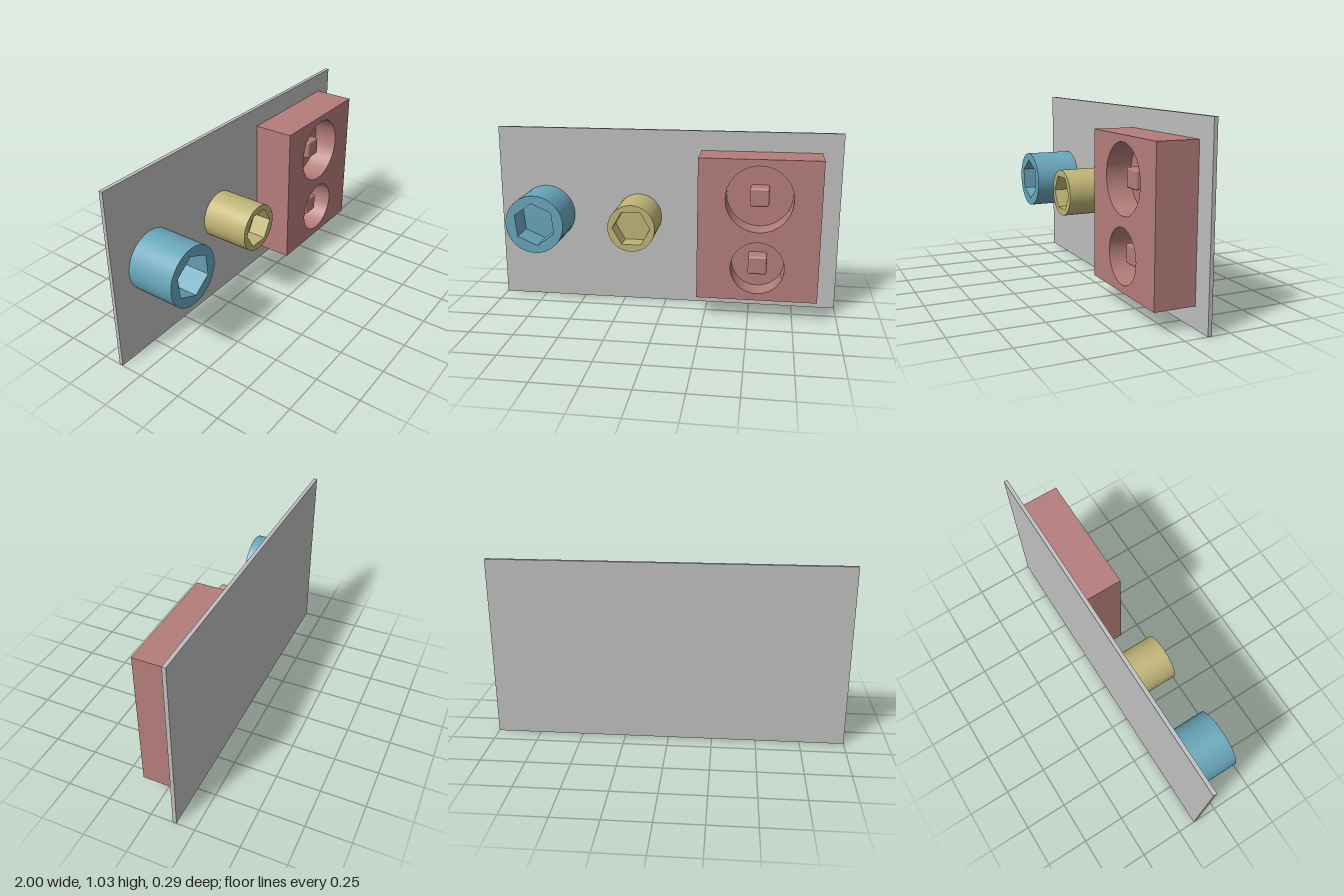
import * as THREE from 'three';
import { toCreasedNormals } from 'three/addons/utils/BufferGeometryUtils.js';
import { RoundedBoxGeometry } from 'three/addons/geometries/RoundedBoxGeometry.js';

const material = (name, color) => new THREE.MeshStandardMaterial({ name, color });

// Regular polygon (or circle, with many sides) as a list of points
function ring(x, y, radius, sides, turn = 0) {
  return Array.from({ length: sides }, (_, i) => {
    const a = turn + (i / sides) * Math.PI * 2;
    return new THREE.Vector2(x + radius * Math.cos(a), y + radius * Math.sin(a));
  });
}

// Extrude an outline between two depths, with optional holes
function slab(name, mat, outline, holes, z0, z1) {
  const shape = new THREE.Shape(outline);
  shape.holes = holes.map((points) => new THREE.Path(points));
  const geo = new THREE.ExtrudeGeometry(shape, { depth: z1 - z0, bevelEnabled: false });
  geo.translate(0, 0, z0);
  const mesh = new THREE.Mesh(toCreasedNormals(geo, 0.5), mat);
  mesh.name = name;
  return mesh;
}

// Solid base below the floor, recessed front above it
function recessed(name, mat, outline, holes, back, floor, front) {
  const group = new THREE.Group();
  group.name = name;
  group.add(slab(name + 'Base', mat, outline, [], back, floor));
  group.add(slab(name + 'Front', mat, outline, holes, floor, front));
  return group;
}

export function createModel() {
  const model = new THREE.Group();
  model.name = 'socketPanel';
  const grey = material('plate grey', 0xbfbfbf);
  const blue = material('blue', 0x69a6bb);
  const yellow = material('yellow', 0xbfb476);
  const red = material('dusty red', 0xb47d7b);
  const back = -0.126;

  // Thin backing plate
  const plate = new THREE.Mesh(new THREE.BoxGeometry(2, 1.035, 0.021), grey);
  plate.name = 'backPlate';
  plate.position.set(0, 0.5175, -0.1365);
  model.add(plate);

  // Round bosses with hexagonal sockets
  const deg = Math.PI / 180;
  model.add(recessed('largeSocket', blue, ring(-0.72, 0.52, 0.168, 64),
    [ring(-0.72, 0.52, 0.124, 6, 36 * deg)], back, -0.01, 0.147));
  model.add(recessed('smallSocket', yellow, ring(-0.16, 0.52, 0.134, 64),
    [ring(-0.16, 0.52, 0.107, 6)], back, 0.042, 0.147));

  // Block with two round wells
  const wells = [{ y: 0.7, r: 0.187 }, { y: 0.305, r: 0.15 }];
  const outline = [[0.206, 0.115], [0.884, 0.115], [0.884, 0.923], [0.206, 0.923]]
    .map(([x, y]) => new THREE.Vector2(x, y));
  const floor = -0.04;
  model.add(recessed('wellBlock', red, outline,
    wells.map((w) => ring(0.545, w.y, w.r, 64)), back, floor, 0.101));

  // Square peg standing in each well
  wells.forEach(({ y }, i) => {
    const peg = new THREE.Mesh(new RoundedBoxGeometry(0.106, 0.106, 0.11, 3, 0.012), red);
    peg.name = i === 0 ? 'upperPeg' : 'lowerPeg';
    peg.position.set(0.545, y, floor + 0.04);
    model.add(peg);
  });
  return model;
}
